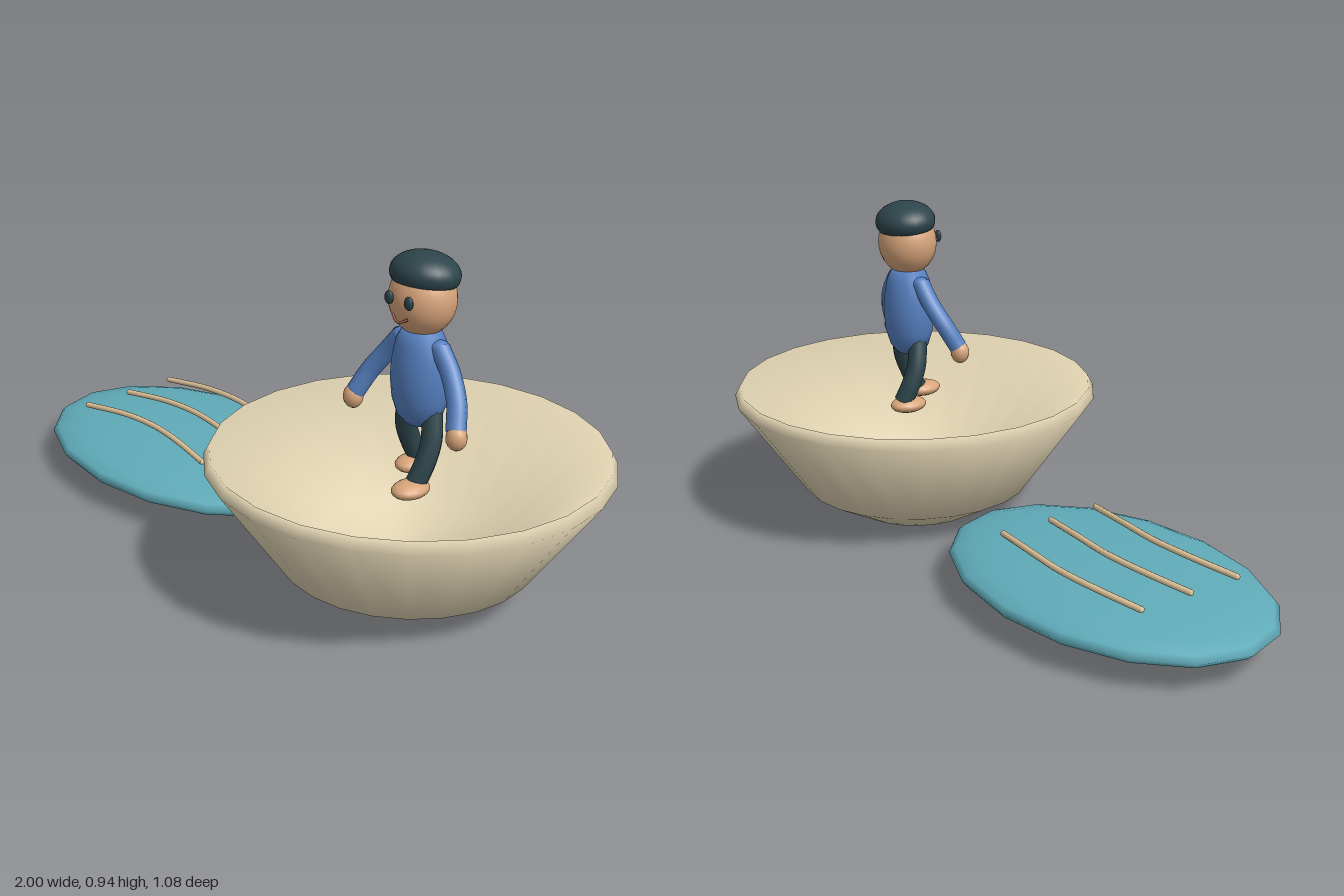
import * as THREE from 'three';

const mat = (name, color, side = THREE.FrontSide) => {
  const m = new THREE.MeshStandardMaterial({ color, side });
  m.name = name;
  return m;
};
const V = (x, y, z) => new THREE.Vector3(x, y, z);

// Lathe whose normals average neighbouring profile segments equally
function smoothLathe(pts, seg) {
  const p = pts.map(q => new THREE.Vector2(...q));
  const geometry = new THREE.LatheGeometry(p, seg);
  const segNormals = p.slice(1).map((q, i) =>
    new THREE.Vector2(q.y - p[i].y, p[i].x - q.x).normalize());
  const normal = geometry.attributes.normal;
  for (let i = 0; i < normal.count; i++) {
    const j = i % p.length;
    const angle = Math.floor(i / p.length) / seg * Math.PI * 2;
    const n = new THREE.Vector2();
    if (j > 0) n.add(segNormals[j - 1]);
    if (j < segNormals.length) n.add(segNormals[j]);
    n.normalize();
    normal.setXYZ(i, n.x * Math.sin(angle), n.y, n.x * Math.cos(angle));
  }
  return geometry;
}

export function createModel() {
  const model = new THREE.Group();
  model.name = 'figureInBowl';
  const sand = mat('sand', 0xe0d3b2, THREE.DoubleSide);
  const teal = mat('teal', 0x60abb9);
  const tan = mat('tan', 0xdcc198);
  const skin = mat('skin', 0xd8a57b);
  const blue = mat('blue', 0x5580c0, THREE.DoubleSide);
  const dark = mat('darkSlate', 0x2c444a, THREE.DoubleSide);
  const brown = mat('mouthBrown', 0x9a6248);

  const add = (parent, name, geometry, material, x = 0, y = 0, z = 0) => {
    const mesh = new THREE.Mesh(geometry, material);
    mesh.name = name;
    mesh.position.set(x, y, z);
    parent.add(mesh);
    return mesh;
  };
  const ellipsoid = (rx, ry, rz, w = 20, h = 14) =>
    new THREE.SphereGeometry(1, w, h).scale(rx, ry, rz);
  const tube = (points, r) => {
    const curve = new THREE.CatmullRomCurve3(points.map(p => V(...p)));
    return new THREE.TubeGeometry(curve, 16, r, 10, false);
  };

  // Wide bowl with a thin rim and a hollow inside
  add(model, 'bowl', smoothLathe([
    [0, 0], [0.19, 0], [0.341, 0.084], [0.538, 0.365], [0.522, 0.395],
    [0.24, 0.13], [0, 0.08],
  ], 24), sand, 0.46, 0, 0);

  // Flat cushion with three curved strips above it
  add(model, 'cushion', ellipsoid(0.54, 0.062, 0.35, 16, 12), teal, -0.46, 0.09, 0);
  for (const z of [-0.16, 0, 0.157]) {
    const strip = new THREE.Group();
    strip.name = 'cushionStrip';
    strip.position.set(-0.495, 0, z);
    model.add(strip);
    const path = [[-0.285, 0.17, 0], [-0.13, 0.18, -0.03], [0, 0.182, -0.038],
      [0.13, 0.18, -0.025], [0.285, 0.17, 0]];
    add(strip, 'stripBar', tube(path, 0.0085), tan);
    for (const end of [path[0], path[4]])
      add(strip, 'stripEnd', ellipsoid(0.004, 0.008, 0.008, 8, 6), tan, ...end);
  }

  // Standing figure
  const figure = new THREE.Group();
  figure.name = 'figure';
  figure.position.x = 0.49;
  model.add(figure);

  add(figure, 'torso', smoothLathe([
    [0, 0.473], [0.038, 0.479], [0.062, 0.502], [0.077, 0.545], [0.083, 0.6],
    [0.08, 0.65], [0.07, 0.7], [0.053, 0.735], [0, 0.737],
  ], 24).scale(1, 1, 0.86), blue);
  add(figure, 'head', ellipsoid(0.091, 0.097, 0.084, 24, 16), skin, 0, 0.815, 0);

  // Rounded cap, lower at the back
  const capShape = new THREE.SphereGeometry(1, 24, 14, 0, Math.PI * 2, 0, Math.PI * 0.63)
    .scale(0.095, 0.057, 0.085);
  const cap = add(figure, 'cap', capShape, dark, 0, 0.878, -0.006);
  cap.rotation.x = -0.11;

  // Smile
  add(figure, 'mouth', tube([[-0.027, 0.782, 0.077], [-0.013, 0.773, 0.083],
    [0, 0.77, 0.086], [0.013, 0.773, 0.083], [0.027, 0.782, 0.077]], 0.0035), brown);

  for (const s of [-1, 1]) {
    const side = s > 0 ? 'left' : 'right';
    add(figure, side + 'Eye', ellipsoid(0.014, 0.018, 0.008, 12, 8), dark, s * 0.034, 0.826, 0.085);

    // Arms swing out and slightly forward
    add(figure, side + 'Arm', tube([[s * 0.066, 0.7, 0.002], [s * 0.11, 0.645, 0.008],
      [s * 0.152, 0.585, 0.028], [s * 0.178, 0.525, 0.055]], 0.026), blue);
    add(figure, side + 'Shoulder', ellipsoid(0.026, 0.02, 0.026, 12, 8), blue, s * 0.066, 0.7, 0.002);
    add(figure, side + 'Hand', ellipsoid(0.028, 0.033, 0.027, 14, 10), skin, s * 0.183, 0.51, 0.058);

    // Striding legs: left forward, right back
    add(figure, side + 'Leg', tube([[s * 0.045, 0.52, 0], [s * 0.06, 0.45, s * 0.015],
      [s * 0.06, 0.395, s * 0.036], [s * 0.052, 0.345, s * 0.058]], 0.028), dark);
    add(figure, side + 'Foot', ellipsoid(0.043, 0.023, 0.057, 16, 10), skin,
      s * 0.054, 0.333, s > 0 ? 0.08 : -0.042);
  }
  return model;
}
